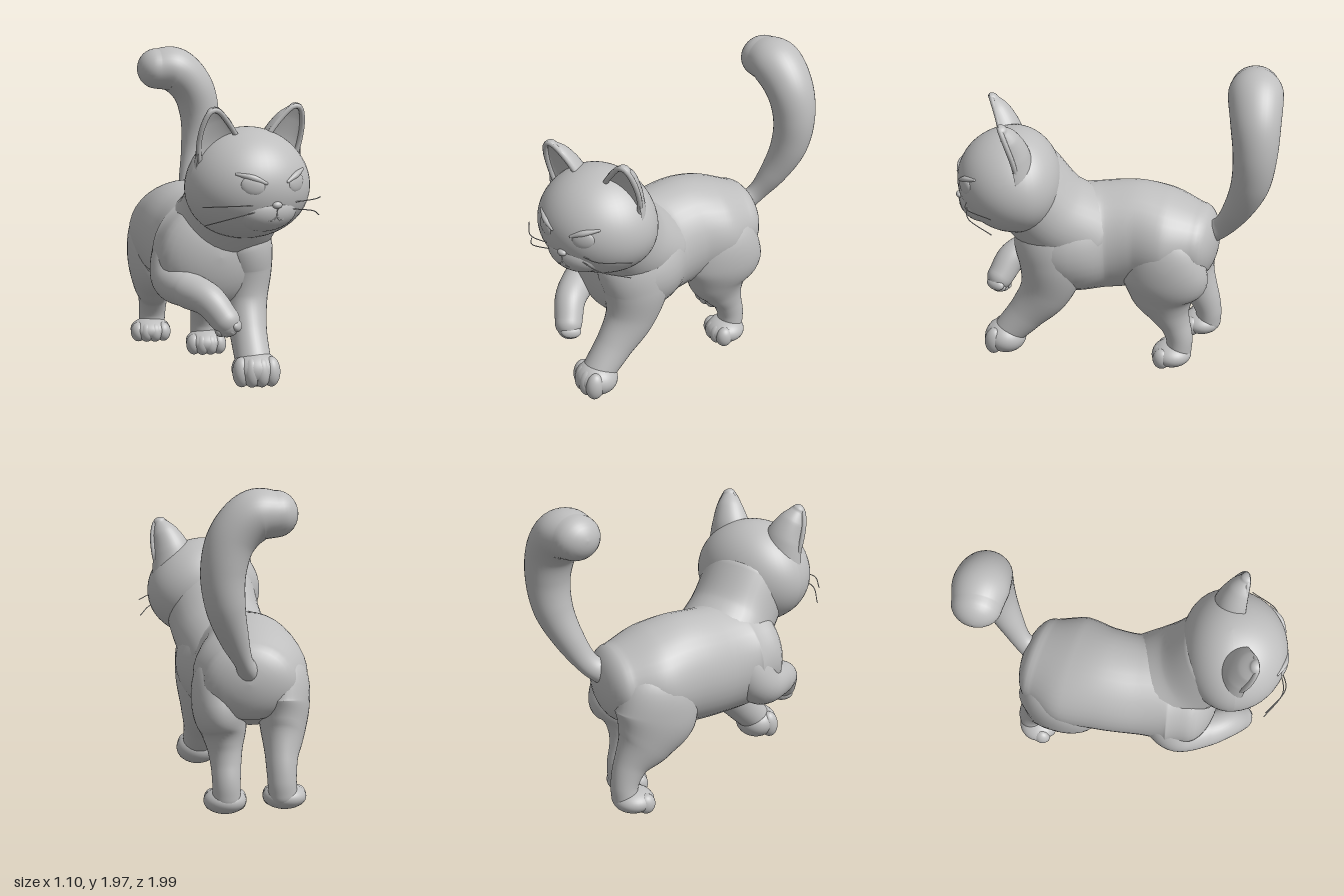
import * as THREE from 'three';

const grey = new THREE.MeshStandardMaterial({ color: 0xbebebe });
grey.name = 'grey clay';

function add(parent, name, geometry) {
  const mesh = new THREE.Mesh(geometry, grey);
  mesh.name = name;
  parent.add(mesh);
  return mesh;
}

// Smooth skin through elliptical sections [x, y, z, ra, rb] with rounded ends.
// 'ref' sets the ra direction; 'dent' pushes one half of each section inwards.
function loft(sections, { ref = [1, 0, 0], caps = [null, null], dent = 0, rows = 40, sides = 36 } = {}) {
  const path = new THREE.CatmullRomCurve3(sections.map(s => new THREE.Vector3(s[0], s[1], s[2])));
  const size = new THREE.CatmullRomCurve3(sections.map(s => new THREE.Vector3(s[3], s[4] ?? s[3], 0)));
  const axis = new THREE.Vector3(...ref);
  const pos = [], index = [];
  const ring = (u, shift, k) => {
    const t = path.getTangent(u), r = size.getPoint(u);
    const c = path.getPoint(u).addScaledVector(t, shift);
    const side = axis.clone().addScaledVector(t, -axis.dot(t)).normalize();
    const bin = t.clone().cross(side);
    for (let j = 0; j < sides; j++) {
      const a = j / sides * Math.PI * 2, s = Math.sin(a);
      const p = c.clone().addScaledVector(side, Math.cos(a) * r.x * k)
        .addScaledVector(bin, s * r.y * k * (dent && s < 0 ? -dent : 1));
      pos.push(p.x, p.y, p.z);
    }
  };
  const first = sections[0], last = sections[sections.length - 1];
  const len0 = caps[0] ?? first[3], len1 = caps[1] ?? last[3];
  const n = 8;
  for (let i = 0; i < n; i++) {
    const a = i / n * Math.PI / 2;
    ring(0, -len0 * Math.cos(a), Math.max(Math.sin(a), 0.002));
  }
  for (let i = 0; i <= rows; i++) ring(i / rows, 0, 1);
  for (let i = n - 1; i >= 0; i--) {
    const a = i / n * Math.PI / 2;
    ring(1, len1 * Math.cos(a), Math.max(Math.sin(a), 0.002));
  }
  const total = pos.length / 3 / sides;
  for (let i = 0; i < total - 1; i++) {
    for (let j = 0; j < sides; j++) {
      const a = i * sides + j, b = i * sides + (j + 1) % sides;
      index.push(a, b, a + sides, b, b + sides, a + sides);
    }
  }
  const g = new THREE.BufferGeometry();
  g.setAttribute('position', new THREE.Float32BufferAttribute(pos, 3));
  g.setIndex(index);
  g.computeVertexNormals();
  return g;
}

function ball(parent, name, [x, y, z], [rx, ry, rz]) {
  const mesh = add(parent, name, new THREE.SphereGeometry(1, 32, 24));
  mesh.position.set(x, y, z);
  mesh.scale.set(rx, ry, rz);
  return mesh;
}

function wire(parent, name, points, radius) {
  const curve = new THREE.CatmullRomCurve3(points.map(p => new THREE.Vector3(...p)));
  return add(parent, name, new THREE.TubeGeometry(curve, 24, radius, 8));
}

// Rounded foot with four shallow toes at its front
function paw(parent, name, at, w, h, d) {
  const g = new THREE.Group();
  g.name = name;
  g.position.set(...at);
  ball(g, 'pad', [0, 0, 0], [w, h, d]);
  for (let i = 0; i < 4; i++) {
    const k = (i - 1.5) / 1.5;
    ball(g, 'toe', [k * w * 0.62, -h * 0.1, d * (0.56 - 0.16 * k * k)], [w * 0.38, h * 0.84, d * 0.45]);
  }
  parent.add(g);
  return g;
}

// Head, built facing +z around its own centre
const HEAD = [0.374, 0.322, 0.355];
const onFace = (x, y, lift = 0) =>
  [x, y, HEAD[2] * Math.sqrt(Math.max(0, 1 - (x / HEAD[0]) ** 2 - (y / HEAD[1]) ** 2)) + lift];

// Skull: full cheeks below, narrower crown, shallow back
function skullGeometry() {
  const g = new THREE.SphereGeometry(1, 48, 36);
  const p = g.attributes.position;
  for (let i = 0; i < p.count; i++) {
    const x = p.getX(i), y = p.getY(i), z = p.getZ(i);
    p.setXYZ(i, x * (1 - 0.07 * y) * HEAD[0], y * HEAD[1], z * (z < 0 ? 0.8 : 1) * HEAD[2]);
  }
  g.computeVertexNormals();
  return g;
}

function createHead() {
  const head = new THREE.Group();
  head.name = 'head';
  add(head, 'skull', skullGeometry());
  ball(head, 'muzzle', [0, -0.125, 0.2], [0.2, 0.13, 0.148]);
  ball(head, 'nose', [0, -0.085, 0.348], [0.03, 0.02, 0.02]);
  wire(head, 'noseCrease', [[0, -0.09, 0.354], [0, -0.12, 0.348], [0, -0.15, 0.344]], 0.004);
  for (const s of [-1, 1]) {
    add(head, 'ear', loft([
      [s * 0.19, 0.12, 0.04, 0.158, 0.14], [s * 0.213, 0.25, 0.06, 0.126, 0.125],
      [s * 0.248, 0.36, 0.09, 0.085, 0.088], [s * 0.27, 0.42, 0.11, 0.044, 0.045]
    ], { dent: 0.25, caps: [0.02, 0.035], rows: 24 }));
    // Rim round the front opening of the ear
    wire(head, 'earRim', [[s * 0.085, 0.25, 0.07], [s * 0.168, 0.36, 0.09], [s * 0.25, 0.435, 0.11],
      [s * 0.292, 0.43, 0.11], [s * 0.326, 0.355, 0.085], [s * 0.334, 0.23, 0.045], [s * 0.31, 0.11, 0.02]], 0.016);
    const eye = ball(head, 'eye', onFace(s * 0.14, 0.027, -0.013), [0.069, 0.054, 0.022]);
    eye.rotation.set(0, s * 0.4, s * 0.2);
    add(head, 'brow', loft([
      [...onFace(s * 0.07, 0.042, -0.002), 0.009], [...onFace(s * 0.14, 0.073, -0.001), 0.018],
      [...onFace(s * 0.215, 0.094, -0.006), 0.008]
    ], { ref: [0, 1, 0], rows: 16, sides: 14 }));
    wire(head, 'mouth', [[0, -0.15, 0.344], [s * 0.03, -0.175, 0.332], [s * 0.065, -0.16, 0.327]], 0.005);
    wire(head, 'upperWhisker', [[s * 0.11, -0.085, 0.31], [s * 0.25, -0.075, 0.325], [s * 0.39, -0.09, 0.19]], 0.003);
    wire(head, 'lowerWhisker', [[s * 0.11, -0.12, 0.31], [s * 0.25, -0.14, 0.315], [s * 0.38, -0.195, 0.19]], 0.003);
  }
  head.position.set(0.125, 1.275, 0.59);
  head.rotation.y = 0.42;
  return head;
}

export function createModel() {
  const cat = new THREE.Group();
  cat.name = 'cat';

  // Trunk and neck
  add(cat, 'body', loft([
    [-0.18, 0.835, -0.5, 0.275, 0.235], [-0.18, 0.84, -0.3, 0.345, 0.31], [-0.17, 0.845, -0.1, 0.32, 0.343],
    [-0.13, 0.83, 0.1, 0.31, 0.345], [-0.06, 0.825, 0.3, 0.36, 0.34], [-0.04, 0.83, 0.45, 0.335, 0.315]
  ], { caps: [0.13, 0.165] }));
  add(cat, 'neck', loft([
    [-0.07, 0.88, 0.2, 0.3, 0.27], [0.03, 1.03, 0.39, 0.295, 0.265], [0.1, 1.24, 0.54, 0.3, 0.262]
  ], { caps: [0.1, 0.1] }));
  cat.add(createHead());

  // Tail, swelling towards the curled tip
  add(cat, 'tail', loft([
    [-0.17, 0.9, -0.56, 0.08, 0.07], [-0.145, 0.965, -0.655, 0.07, 0.055], [-0.09, 1.12, -0.755, 0.09, 0.085],
    [-0.04, 1.32, -0.835, 0.118, 0.115], [-0.03, 1.52, -0.857, 0.134, 0.13], [-0.08, 1.7, -0.845, 0.152, 0.14],
    [-0.2, 1.82, -0.82, 0.166, 0.148], [-0.32, 1.83, -0.797, 0.146, 0.132]
  ], { ref: [0, 0, 1], caps: [0.05, 0.125], rows: 60 }));

  // Planted front leg
  add(cat, 'leftFrontLeg', loft([
    [0.07, 1.03, 0.4, 0.16, 0.17], [0.125, 0.88, 0.38, 0.178, 0.225], [0.135, 0.72, 0.365, 0.17, 0.21],
    [0.14, 0.53, 0.41, 0.135, 0.165], [0.15, 0.36, 0.53, 0.11, 0.122], [0.165, 0.22, 0.65, 0.105, 0.1]
  ], { caps: [0.12, 0.08] }));
  paw(cat, 'leftFrontPaw', [0.175, 0.185, 0.67], 0.14, 0.105, 0.13).rotation.x = -0.1;

  // Raised front leg, folded across the chest
  add(cat, 'rightFrontLeg', loft([
    [-0.15, 0.98, 0.27, 0.15], [-0.225, 0.84, 0.33, 0.175], [-0.28, 0.69, 0.425, 0.142],
    [-0.21, 0.645, 0.58, 0.11], [-0.1, 0.605, 0.7, 0.096], [-0.01, 0.5, 0.76, 0.084]
  ], { ref: [0, 0, 1], rows: 50 }));
  const raised = paw(cat, 'rightFrontPaw', [-0.005, 0.488, 0.762], 0.08, 0.074, 0.085);
  raised.rotation.set(1.35, 0.3, 0.3);

  // Hind legs
  add(cat, 'leftHindLeg', loft([
    [-0.07, 0.94, -0.28, 0.12, 0.16], [-0.008, 0.81, -0.315, 0.172, 0.235], [0.002, 0.65, -0.325, 0.17, 0.275],
    [-0.02, 0.5, -0.325, 0.138, 0.215], [-0.03, 0.39, -0.355, 0.105, 0.14], [-0.037, 0.29, -0.395, 0.09, 0.095],
    [-0.04, 0.2, -0.42, 0.085, 0.085], [-0.04, 0.11, -0.42, 0.085, 0.08]
  ], { caps: [0.08, 0.07] }));
  paw(cat, 'leftHindPaw', [-0.03, 0.085, -0.375], 0.13, 0.08, 0.125);
  add(cat, 'rightHindLeg', loft([
    [-0.29, 0.94, -0.28, 0.12, 0.16], [-0.357, 0.81, -0.315, 0.172, 0.25], [-0.375, 0.66, -0.335, 0.162, 0.268],
    [-0.375, 0.51, -0.405, 0.132, 0.195], [-0.367, 0.37, -0.5, 0.096, 0.11],
    [-0.37, 0.25, -0.543, 0.086, 0.085], [-0.375, 0.16, -0.545, 0.085, 0.08]
  ], { caps: [0.08, 0.07] }));
  paw(cat, 'rightHindPaw', [-0.385, 0.145, -0.495], 0.13, 0.075, 0.125);

  return cat;
}
